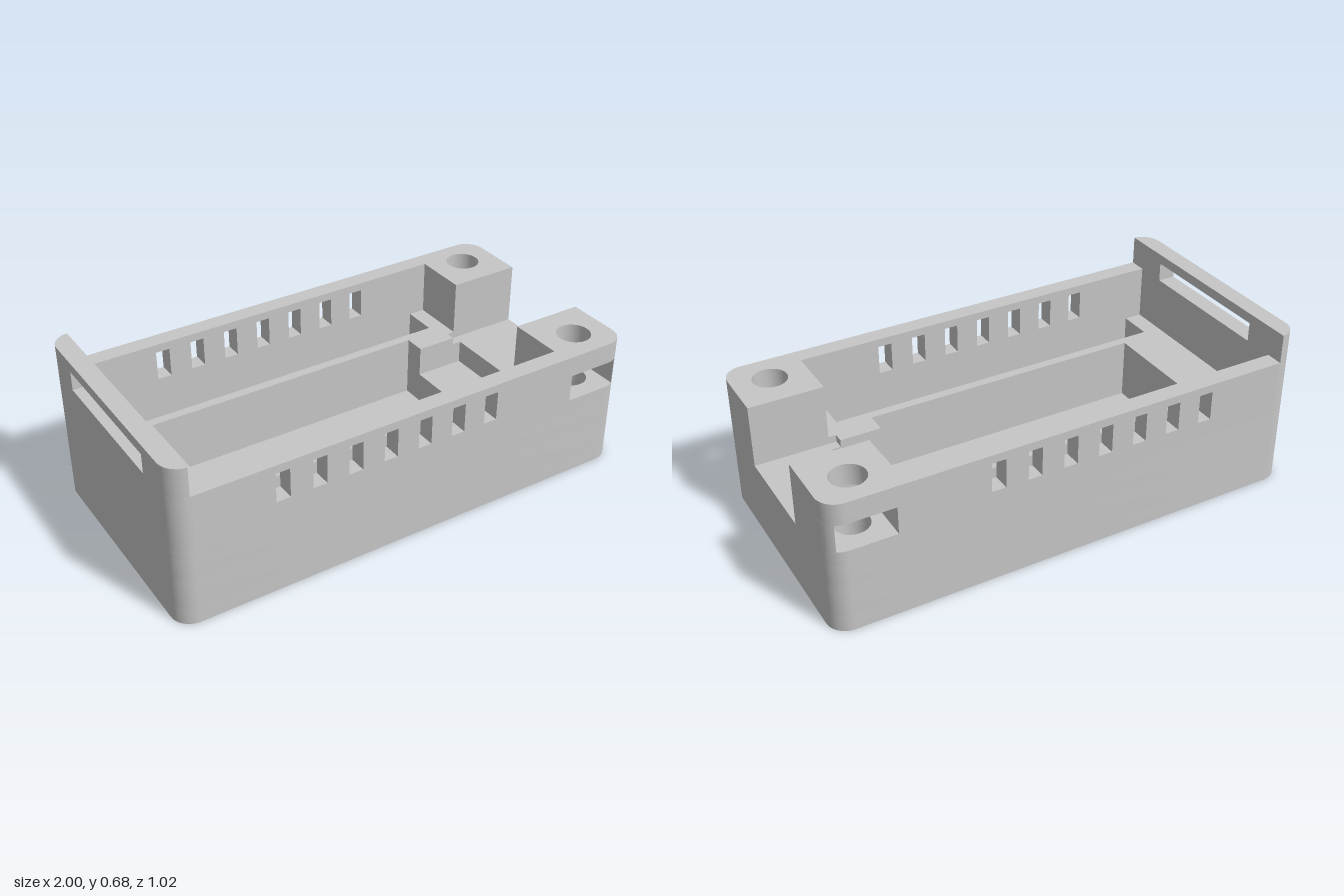
import * as THREE from 'three';
import { toCreasedNormals } from 'three/addons/utils/BufferGeometryUtils.js';

const W = 0.51, R = 0.08;           // half depth, corner radius
const IN = 0.437;                   // inner face of the side walls
const CH = 0.207;                   // half width of the end channel
const LIP = -0.925, POST = 0.695;   // ends of the inner space
const DECK = 0.327, RIM = 0.557;    // heights of the inner floor and the rim
const BOLT = { x: 0.85, z: 0.37, r: 0.07 };

export function createModel() {
  const group = new THREE.Group();
  const grey = new THREE.MeshStandardMaterial({ color: 0xc6c6c6 });
  grey.name = 'grey plastic';

  const add = (name, geometry) => {
    const mesh = new THREE.Mesh(toCreasedNormals(geometry, 0.5), grey);
    mesh.name = name;
    group.add(mesh);
  };

  // Plan points are [x, z]; every loop is turned counter-clockwise
  const toVectors = (pts) => {
    const loop = pts.map(([x, z]) => new THREE.Vector2(x, -z));
    return THREE.ShapeUtils.isClockWise(loop) ? loop.reverse() : loop;
  };
  const extrude = (pts, holes, depth) => {
    const shape = new THREE.Shape(toVectors(pts));
    holes.forEach((h) => shape.holes.push(new THREE.Path(toVectors(h))));
    return new THREE.ExtrudeGeometry(shape, { depth, bevelEnabled: false });
  };
  // A slab is a plan shape between two heights
  const slab = (name, pts, y0, y1, holes = []) => {
    add(name, extrude(pts, holes, y1 - y0).rotateX(-Math.PI / 2).translate(0, y0, 0));
  };
  const arc = (cx, cz, r, a0, a1, n = 10) => Array.from({ length: n + 1 }, (_, i) => {
    const a = a0 + (a1 - a0) * i / n;
    return [cx + r * Math.cos(a), cz + r * Math.sin(a)];
  });
  const rect = (x0, x1, z0, z1) => [[x0, z0], [x1, z0], [x1, z1], [x0, z1]];
  const flip = (pts, s) => pts.map(([x, z]) => [x, z * s]);

  const P = Math.PI, cx = 1 - R, cz = W - R;
  const frontRight = arc(cx, cz, R, 0, P / 2);
  const frontLeft = arc(-cx, cz, R, P / 2, P);
  const backLeft = arc(-cx, -cz, R, P, 1.5 * P);
  const backRight = arc(cx, -cz, R, 1.5 * P, 2 * P);
  const outline = [...frontRight, ...frontLeft, ...backLeft, ...backRight];

  // Recesses in the floor
  const pocket = rect(-0.72, 0.49, -0.253, 0.253);
  const notched = [[-0.72, -0.253], [0.49, -0.253], [0.49, -0.165], [0.7, -0.165],
    [0.7, 0.165], [0.49, 0.165], [0.49, 0.253], [-0.72, 0.253]];
  const sidePockets = [1, -1].map((s) => flip(rect(-0.85, 0.625, 0.292, IN), s));
  const bolts = [1, -1].map((s) => arc(BOLT.x, BOLT.z * s, BOLT.r, 0, 2 * P, 32).slice(0, -1));

  slab('bottom', outline, 0, 0.07);
  slab('lowerBody', outline, 0.07, 0.2, [pocket, ...sidePockets]);
  slab('upperBody', outline, 0.2, 0.297, [notched, ...sidePockets, ...bolts]);

  // Inner floor, open towards the channel on the right end
  const halfDeck = [[0.49, 0.253], [0.49, 0.165], [0.663, 0.165], [0.663, CH], [1, CH]];
  slab('innerFloor', [[-0.72, -0.253], [-0.72, 0.253], ...halfDeck, ...outline,
    ...flip(halfDeck, -1).reverse()], 0.297, DECK, [...sidePockets, ...bolts]);

  // End wall with both rounded corners
  slab('endWall', [...frontLeft, ...backLeft, [-cx, -IN], [LIP, -IN], [LIP, IN], [-cx, IN]],
    DECK, RIM);

  // Raised lip with a long slot
  const lipEnd = arc(-cx, cz, R, Math.acos((LIP + cx) / R), P);
  [1, -1].forEach((s) => slab('lipCheek',
    flip([...lipEnd, [-1, 0.307], [LIP, 0.307]], s), RIM, 0.637));
  slab('lipBar', [...lipEnd, ...flip(lipEnd, -1).reverse()], 0.637, 0.678);

  // Seven vents along each side wall
  const vents = Array.from({ length: 7 }, (_, i) => {
    const x = -0.571 + i * 0.151;
    return rect(x - 0.029, x + 0.029, -0.4, -0.523);
  });

  [1, -1].forEach((s) => {
    const wall = extrude(rect(-cx, POST, -DECK, -RIM), vents, W - IN);
    add('ventedSideWall', wall.translate(0, 0, s > 0 ? IN : -W));

    // Corner post with a bolt hole and a nut slot open to the side
    const bolt = bolts[s > 0 ? 0 : 1];
    const post = flip([[POST, CH], [1, CH], ...frontRight, [POST, W]], s);
    const slotted = flip([[POST, CH], [1, CH],
      ...arc(cx, cz, R, 0, Math.acos((0.963 - cx) / R)),
      [0.963, 0.255], [0.733, 0.255], [0.733, W], [POST, W]], s);
    slab('postFoot', post, DECK, 0.355, [bolt]);
    slab('postNutSlot', slotted, 0.355, 0.469);
    slab('postTop', post, 0.469, RIM, [bolt]);
  });

  return group;
}
